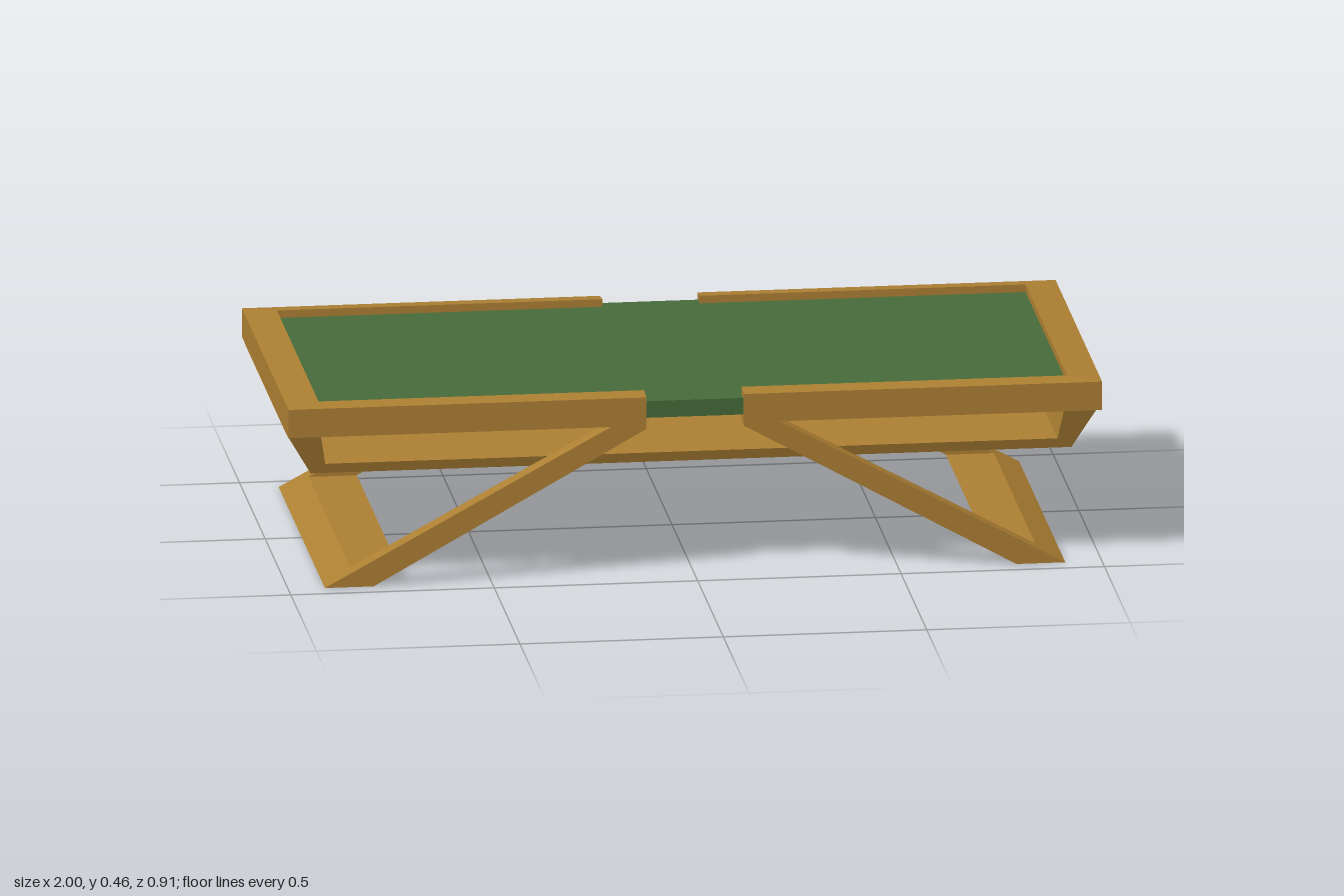
import * as THREE from 'three';

const wood = new THREE.MeshStandardMaterial({ color: 0xad8033 });
wood.name = 'wood';
const felt = new THREE.MeshStandardMaterial({ color: 0x466b3a });
felt.name = 'greenFelt';

// Extrude a flat outline from z0 to z0 + depth
function extrude(points, z0, depth) {
  const shape = new THREE.Shape(points.map(([x, y]) => new THREE.Vector2(x, y)));
  const g = new THREE.ExtrudeGeometry(shape, { depth, bevelEnabled: false });
  return g.translate(0, 0, z0);
}

// Move every vertex by a rule
function warp(g, rule) {
  const p = g.attributes.position;
  const v = new THREE.Vector3();
  for (let i = 0; i < p.count; i++) {
    rule(v.fromBufferAttribute(p, i));
    p.setXYZ(i, v.x, v.y, v.z);
  }
  g.computeVertexNormals();
  return g;
}

function add(parent, name, geometry, material) {
  const mesh = new THREE.Mesh(geometry, material);
  mesh.name = name;
  parent.add(mesh);
  return mesh;
}

// One half of the table: U-shaped rim and folding leg frame
function tableHalf(name) {
  const half = new THREE.Group();
  half.name = name;

  // Rim, with its outer edges slightly rounded down
  const rim = extrude([
    [0.12, -0.453], [1, -0.453], [1, 0.453], [0.12, 0.453],
    [0.12, 0.405], [0.92, 0.405], [0.92, -0.405], [0.12, -0.405],
  ], 0.38, 0.081).rotateX(-Math.PI / 2);
  warp(rim, (v) => {
    if (Math.abs(v.z) > 0.43) v.y += v.y > 0.42 ? -0.005 : 0.004;
  });
  add(half, 'rim', rim, wood);

  // Slanted legs joined by a foot bar
  const legProfile = [[0.79, 0], [0.91, 0], [0.2, 0.387], [0.12, 0.387], [0.12, 0.375]];
  for (const side of [-1, 1]) {
    add(half, side > 0 ? 'frontLeg' : 'backLeg',
      extrude(legProfile, side > 0 ? 0.402 : -0.45, 0.048), wood);
  }
  const footProfile = [[0.79, 0], [0.91, 0], [0.842, 0.037], [0.724, 0.037]];
  add(half, 'footBar', extrude(footProfile, -0.402, 0.804), wood);
  return half;
}

export function createModel() {
  const table = new THREE.Group();
  table.name = 'foldingTable';

  // Playing surface
  const top = new THREE.BoxGeometry(1.9, 0.042, 0.876).translate(0, 0.421, 0);
  add(table, 'tableTop', top, felt);

  // Two matching halves
  const left = tableHalf('leftHalf');
  const right = tableHalf('rightHalf');
  right.rotation.y = Math.PI;
  table.add(left, right);

  // Hanging shelf with flared ends, narrowing towards the bottom
  const shelf = extrude([
    [-0.935, 0.269], [0.935, 0.269], [1, 0.382], [0.915, 0.382],
    [0.9, 0.294], [-0.9, 0.294], [-0.915, 0.382], [-1, 0.382],
  ], -1, 2);
  warp(shelf, (v) => { v.z = Math.sign(v.z) * (0.37 + (v.y - 0.269) * 0.28); });
  add(table, 'lowerShelf', shelf, wood);

  return table;
}
